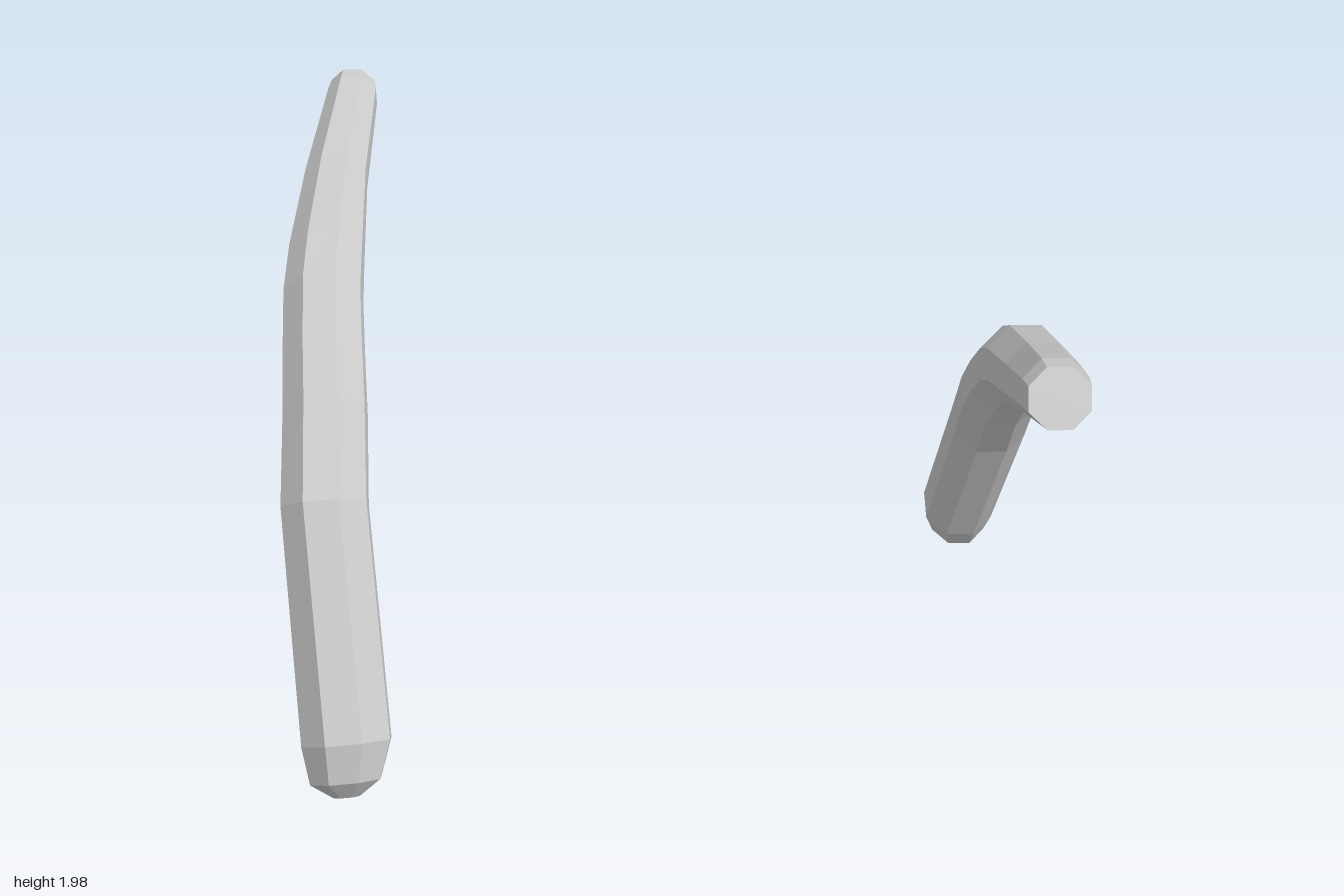
import * as THREE from 'three';

const SIDES = 8;

// Centre line stations from rounded butt to cut tip: x, y, z, radius
const STATIONS = [
  [-0.39, 0.025, 0.90, 0.045],
  [-0.385, 0.07, 0.88, 0.12],
  [-0.365, 0.185, 0.84, 0.152],
  [-0.285, 0.84, 0.475, 0.150],
  [-0.205, 1.09, 0.29, 0.146],
  [-0.155, 1.235, 0.16, 0.144],
  [-0.09, 1.385, 0.0, 0.142],
  [-0.015, 1.485, -0.15, 0.138],
  [0.17, 1.665, -0.50, 0.120],
  [0.40, 1.89, -0.88, 0.100],
  [0.43, 1.91, -0.94, 0.092],
];

// Ring of points square to the local direction of the stick
function ring(centers, i) {
  const last = centers.length - 1;
  // the short end pieces follow the direction of the long shaft beside them
  const a = i <= 2 ? 2 : i >= last - 1 ? last - 3 : i - 1;
  const b = i <= 2 ? 3 : i >= last - 1 ? last - 1 : i + 1;
  const axis = centers[b].clone().sub(centers[a]).normalize();
  const n = new THREE.Vector3(0, 0.7, 0.7).addScaledVector(axis, -axis.dot(new THREE.Vector3(0, 0.7, 0.7))).normalize();
  const s = axis.clone().cross(n);
  const r = STATIONS[i][3];
  return Array.from({ length: SIDES }, (_, k) => {
    const t = (k / SIDES) * Math.PI * 2;
    return centers[i].clone().addScaledVector(n, r * Math.cos(t)).addScaledVector(s, r * Math.sin(t));
  });
}

function stickGeometry() {
  const centers = STATIONS.map(([x, y, z]) => new THREE.Vector3(x, y, z));
  const rings = centers.map((_, i) => ring(centers, i));
  const points = [];
  const last = rings.length - 1;
  for (let k = 0; k < SIDES; k++) {
    const m = (k + 1) % SIDES;
    // shaft facets
    for (let i = 0; i < last; i++) {
      const [a, b, c, d] = [rings[i][k], rings[i][m], rings[i + 1][m], rings[i + 1][k]];
      if ((i + k) % 2) points.push(a, b, c, a, c, d);
      else points.push(a, b, d, b, c, d);
    }
    // end faces
    points.push(centers[0], rings[0][m], rings[0][k]);
    points.push(centers[last], rings[last][k], rings[last][m]);
  }
  const geometry = new THREE.BufferGeometry().setFromPoints(points);
  geometry.computeVertexNormals();
  return geometry;
}

export function createModel() {
  const grey = new THREE.MeshStandardMaterial({ color: 0xcacaca, flatShading: true });
  grey.name = 'pale grey';
  const group = new THREE.Group();
  group.name = 'bentStick';
  const shaft = new THREE.Mesh(stickGeometry(), grey);
  shaft.name = 'curvedShaft';
  group.add(shaft);
  return group;
}
